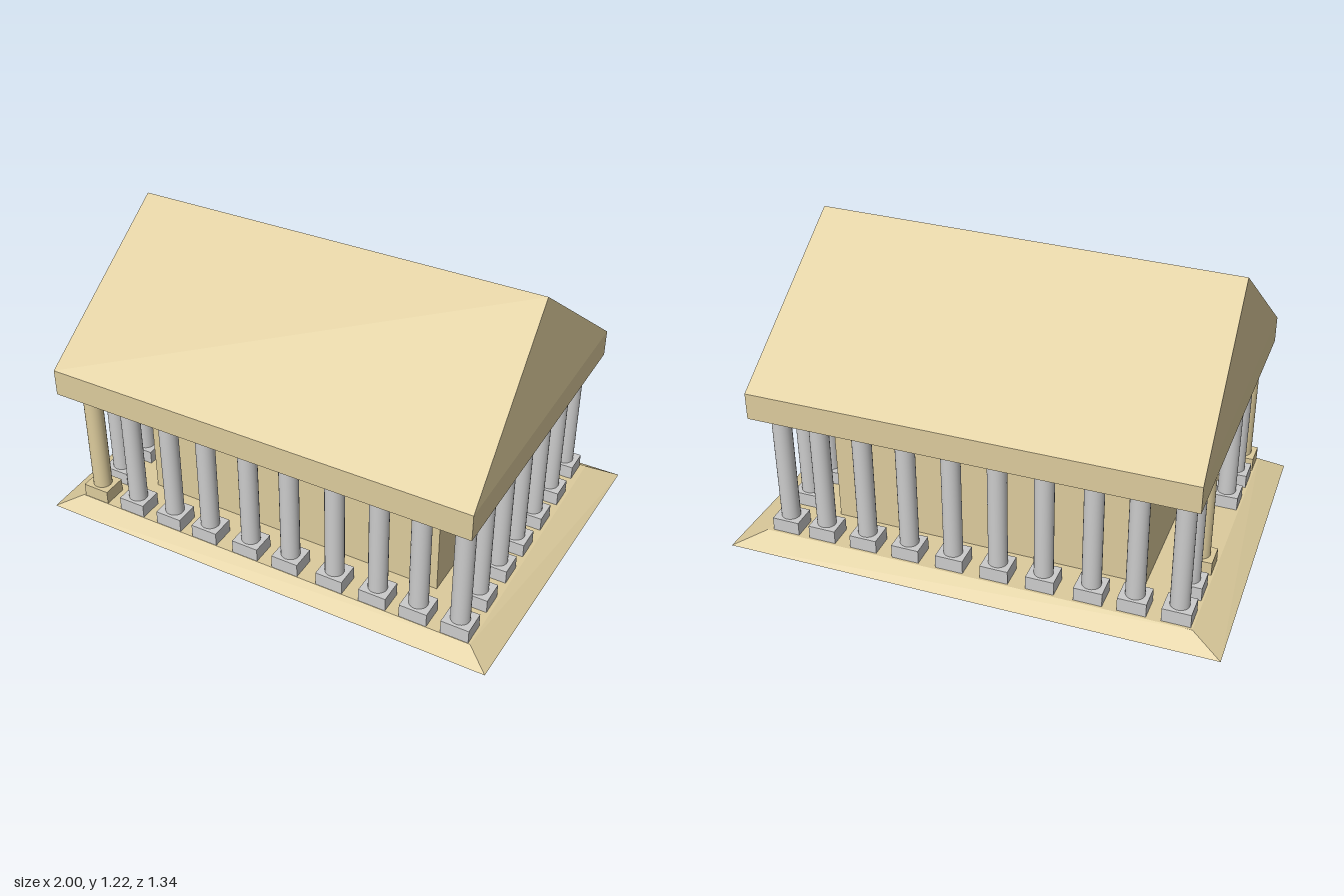
import * as THREE from 'three';
import { ConvexGeometry } from 'three/addons/geometries/ConvexGeometry.js';

const stone = new THREE.MeshStandardMaterial({ color: 0xdccb9c });
const grey = new THREE.MeshStandardMaterial({ color: 0xcccccc });

// Flat-faced solid wrapped around a few corner points
function solid(name, corners) {
  const points = corners.map(([x, y, z]) => new THREE.Vector3(x, y, z));
  const mesh = new THREE.Mesh(new ConvexGeometry(points), stone);
  mesh.name = name;
  return mesh;
}

const FLOOR = 0.055, PLINTH = 0.057, EAVES = 0.605;
const plinthGeometry = new THREE.BoxGeometry(0.113, PLINTH, 0.1);
const shaftHeight = EAVES - FLOOR - PLINTH;
const shaftGeometry = new THREE.CylinderGeometry(0.038, 0.038, shaftHeight, 24);

// Round shaft on a square plinth
function column(x, z, material = grey) {
  const group = new THREE.Group();
  group.name = 'column';
  const plinth = new THREE.Mesh(plinthGeometry, material);
  plinth.name = 'plinth';
  plinth.position.y = FLOOR + PLINTH / 2;
  const shaft = new THREE.Mesh(shaftGeometry, material);
  shaft.name = 'shaft';
  shaft.position.y = EAVES - shaftHeight / 2;
  group.add(plinth, shaft);
  group.position.set(x, 0, z);
  return group;
}

export function createModel() {
  const temple = new THREE.Group();
  temple.name = 'temple';

  // Platform with sloping edges
  temple.add(solid('platform', [
    [-1, 0, -0.66], [1, 0, -0.67], [0.965, 0, 0.66], [-0.98, 0, 0.66],
    [-0.875, FLOOR, -0.59], [0.875, FLOOR, -0.59],
    [0.875, FLOOR, 0.597], [-0.875, FLOOR, 0.597],
  ]));

  // Inner chamber
  const chamber = new THREE.Mesh(
    new THREE.BoxGeometry(1.29, EAVES - FLOOR, 0.79), stone);
  chamber.name = 'chamber';
  chamber.position.y = (EAVES + FLOOR) / 2;
  temple.add(chamber);

  // Beam ring under the roof
  const beam = new THREE.Mesh(new THREE.BoxGeometry(1.76, 0.11, 1.295), stone);
  beam.name = 'entablature';
  beam.position.set(0, EAVES + 0.055, 0.0175);
  temple.add(beam);

  // Gabled roof with a slightly tilted ridge
  temple.add(solid('roof', [
    [-0.88, 0.715, -0.63], [0.88, 0.715, -0.63],
    [0.88, 0.715, 0.665], [-0.88, 0.715, 0.665],
    [-0.855, 1.195, 0.02], [0.845, 1.215, 0.03],
  ]));

  // Long rows, front and back
  const frontX = [-0.63, -0.45, -0.28, -0.09, 0.09, 0.285, 0.47, 0.64, 0.81];
  const backX = [-0.81, -0.64, -0.47, -0.28, -0.095, 0.09, 0.275, 0.455, 0.635, 0.795];
  frontX.forEach((x) => temple.add(column(x, 0.545)));
  backX.forEach((x) => temple.add(column(x, -0.53)));

  // Left end row
  [0.37, 0.19, 0.02, -0.16, -0.34].forEach((z) => temple.add(column(0.805, z)));

  // Right end row, open in the middle as the entrance
  [0.41, 0.24, -0.37].forEach((z) => temple.add(column(-0.81, z)));
  [0.545, -0.21].forEach((z) => temple.add(column(-0.81, z, stone)));

  return temple;
}
